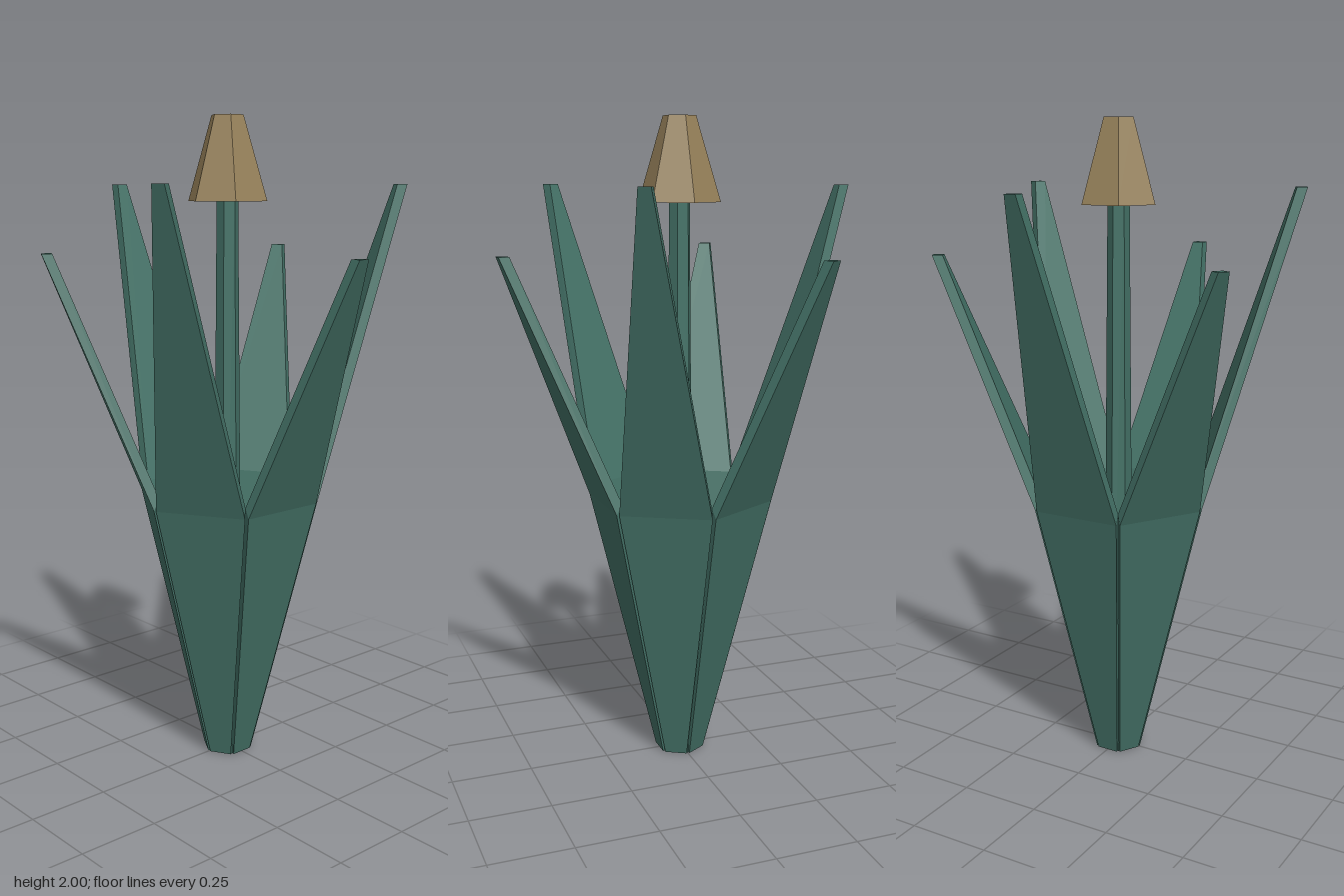
import * as THREE from 'three';

// Solid petal: a slab from three cross-sections, pointing along +x
function petalGeometry(tipY) {
  // each level: outer y, outer radius, outer half width, inner y, inner radius, inner half width
  const levels = [
    [0, 0.07, 0.035, 0, 0.048, 0.0277],
    [0.84, 0.253, 0.14, 0.87, 0.233, 0.1345],
    [tipY, 0.558, 0.018, tipY, 0.526, 0.018],
  ];
  const rings = levels.map(([oy, or, oh, iy, ir, ih]) => [
    [or, oy, oh], [or, oy, -oh], [ir, iy, -ih], [ir, iy, ih],
  ]);
  const pos = [];
  const quad = (a, b, c, d) => pos.push(...a, ...b, ...c, ...a, ...c, ...d);
  for (let l = 0; l < 2; l++) {
    for (let i = 0; i < 4; i++) {
      const j = (i + 1) % 4;
      quad(rings[l][i], rings[l][j], rings[l + 1][j], rings[l + 1][i]);
    }
  }
  quad(...rings[2]);
  quad(...[...rings[0]].reverse());
  const geo = new THREE.BufferGeometry();
  geo.setAttribute('position', new THREE.Float32BufferAttribute(pos, 3));
  geo.computeVertexNormals();
  return geo;
}

export function createModel() {
  const green = new THREE.MeshStandardMaterial({ color: 0x457368, flatShading: true });
  green.name = 'leaf green';
  const tan = new THREE.MeshStandardMaterial({ color: 0x96815a, flatShading: true });
  tan.name = 'bud tan';

  const group = new THREE.Group();
  group.name = 'flower';
  const add = (name, geo, mat, y = 0) => {
    const mesh = new THREE.Mesh(geo, mat);
    mesh.name = name;
    mesh.position.y = y;
    group.add(mesh);
    return mesh;
  };

  // Six petals, alternating short and tall
  const shortPetal = petalGeometry(1.6);
  const tallPetal = petalGeometry(1.8);
  for (let k = 0; k < 6; k++) {
    const petal = add('petal', k % 2 ? tallPetal : shortPetal, green);
    petal.rotation.y = k * Math.PI / 3;
  }

  // Hexagonal foot closing the cup
  add('foot', new THREE.CylinderGeometry(0.078, 0.073, 0.03, 6), green, 0.015);

  // Tapered stem with a corner facing each side
  const stem = add('stem', new THREE.CylinderGeometry(0.033, 0.048, 1.75, 6), green, 0.885);
  stem.rotation.y = Math.PI / 6;

  // Bud on top of the stem
  add('bud', new THREE.CylinderGeometry(0.05, 0.125, 0.25, 6), tan, 1.875);

  return group;
}
